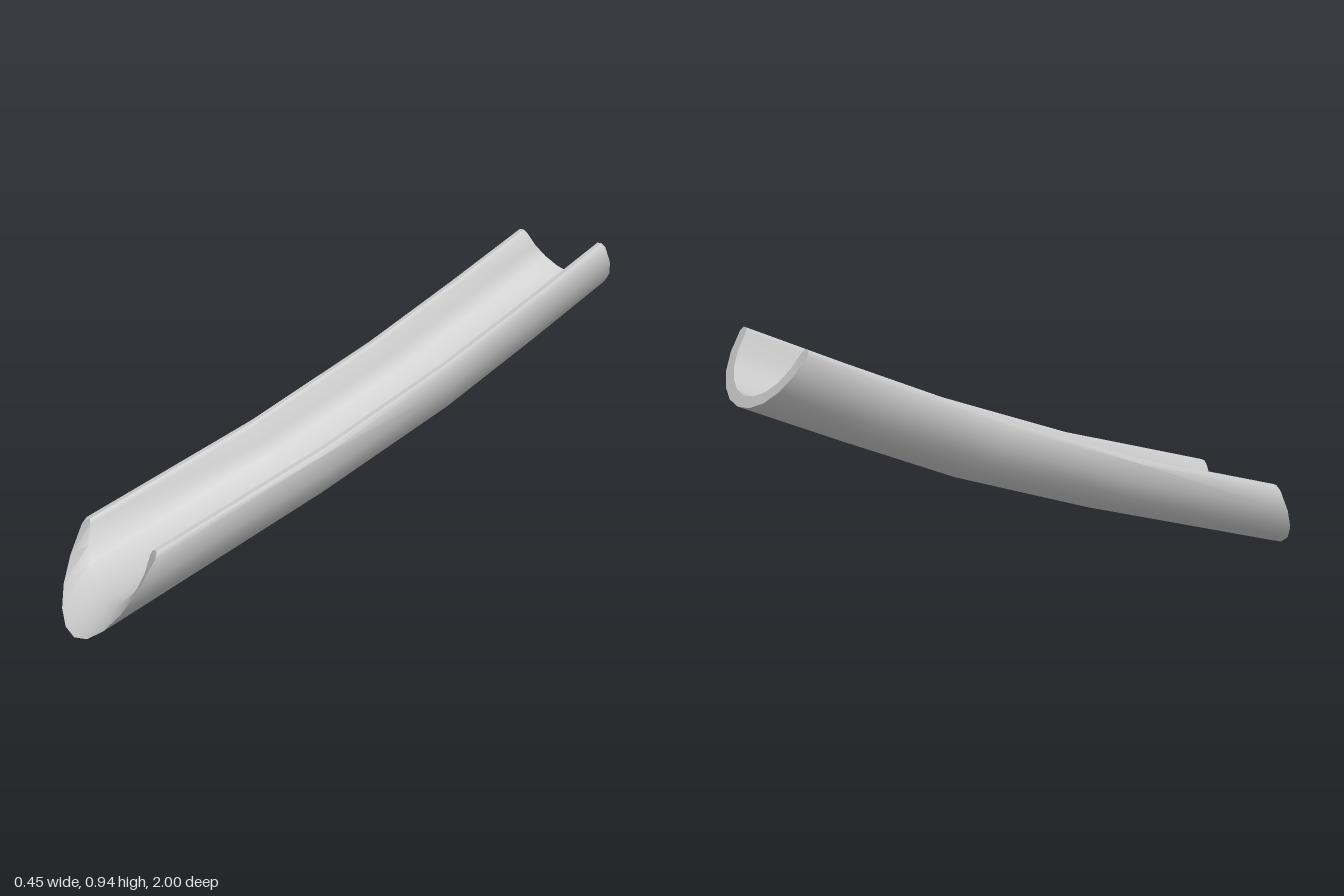
import * as THREE from 'three';
import { toCreasedNormals } from 'three/addons/utils/BufferGeometryUtils.js';

const SEGMENTS = 10;

// Stations from the low spout to the high end, as [z, y] pairs:
// rim, outer floor, inner floor, and the sideways shift of the section.
const STATIONS = [
  { rim: [0.84, 0.272], outer: [1.0, 0.0], inner: [0.89, 0.078], cx: 0.021 },
  { rim: [0.25, 0.462], outer: [0.2, 0.265], inner: [0.212, 0.3], cx: 0.004 },
  { rim: [-0.22, 0.645], outer: [-0.3, 0.45], inner: [-0.286, 0.484], cx: -0.006 },
  { rim: [-0.57, 0.802], outer: [-0.67, 0.617], inner: [-0.652, 0.65], cx: -0.013 },
  { rim: [-0.88, 0.945], outer: [-1.0, 0.77], inner: [-0.981, 0.799], cx: -0.022 },
];

// One closed U-shaped loop: outer wall, rounded rim, inner wall, rounded rim.
function section({ rim, outer, inner, cx }) {
  const point = (x, depth, floor) => [
    cx + x,
    rim[1] + (floor[1] - rim[1]) * depth,
    rim[0] + (floor[0] - rim[0]) * depth,
  ];
  const wall = (radius, floor) => {
    const points = [];
    for (let i = 0; i <= SEGMENTS; i++) {
      const a = 0.06 + (Math.PI - 0.12) * (i / SEGMENTS);
      points.push(point(radius * Math.cos(a), Math.pow(Math.sin(a), 0.95), floor));
    }
    return points;
  };
  return [
    point(0.193, 0, outer), ...wall(0.202, outer), point(-0.193, 0, outer),
    point(-0.174, 0, inner), ...wall(0.166, inner).reverse(), point(0.174, 0, inner),
  ];
}

function troughGeometry() {
  const loops = STATIONS.map(section);
  const n = loops[0].length;
  const last = loops.length - 1;
  const index = [];
  const quad = (a, b, c, d) => index.push(a, b, c, a, c, d);

  // Walls and rims between neighbouring stations
  for (let i = 0; i < last; i++) {
    for (let j = 0; j < n; j++) {
      const k = (j + 1) % n;
      quad(i * n + j, i * n + k, (i + 1) * n + k, (i + 1) * n + j);
    }
  }
  // Spout lip and high end face join the outer wall to the inner wall
  for (let j = 0; j < n / 2 - 1; j++) {
    const e = last * n;
    quad(j, n - 1 - j, n - 2 - j, j + 1);
    quad(e + j, e + j + 1, e + n - 2 - j, e + n - 1 - j);
  }

  const geometry = new THREE.BufferGeometry();
  geometry.setAttribute('position', new THREE.Float32BufferAttribute(loops.flat(2), 3));
  geometry.setIndex(index);
  return toCreasedNormals(geometry, 0.75);
}

export function createModel() {
  const group = new THREE.Group();
  group.name = 'halfPipeChute';
  const material = new THREE.MeshStandardMaterial({ color: 0xcccccc });
  const trough = new THREE.Mesh(troughGeometry(), material);
  trough.name = 'trough';
  group.add(trough);
  return group;
}
